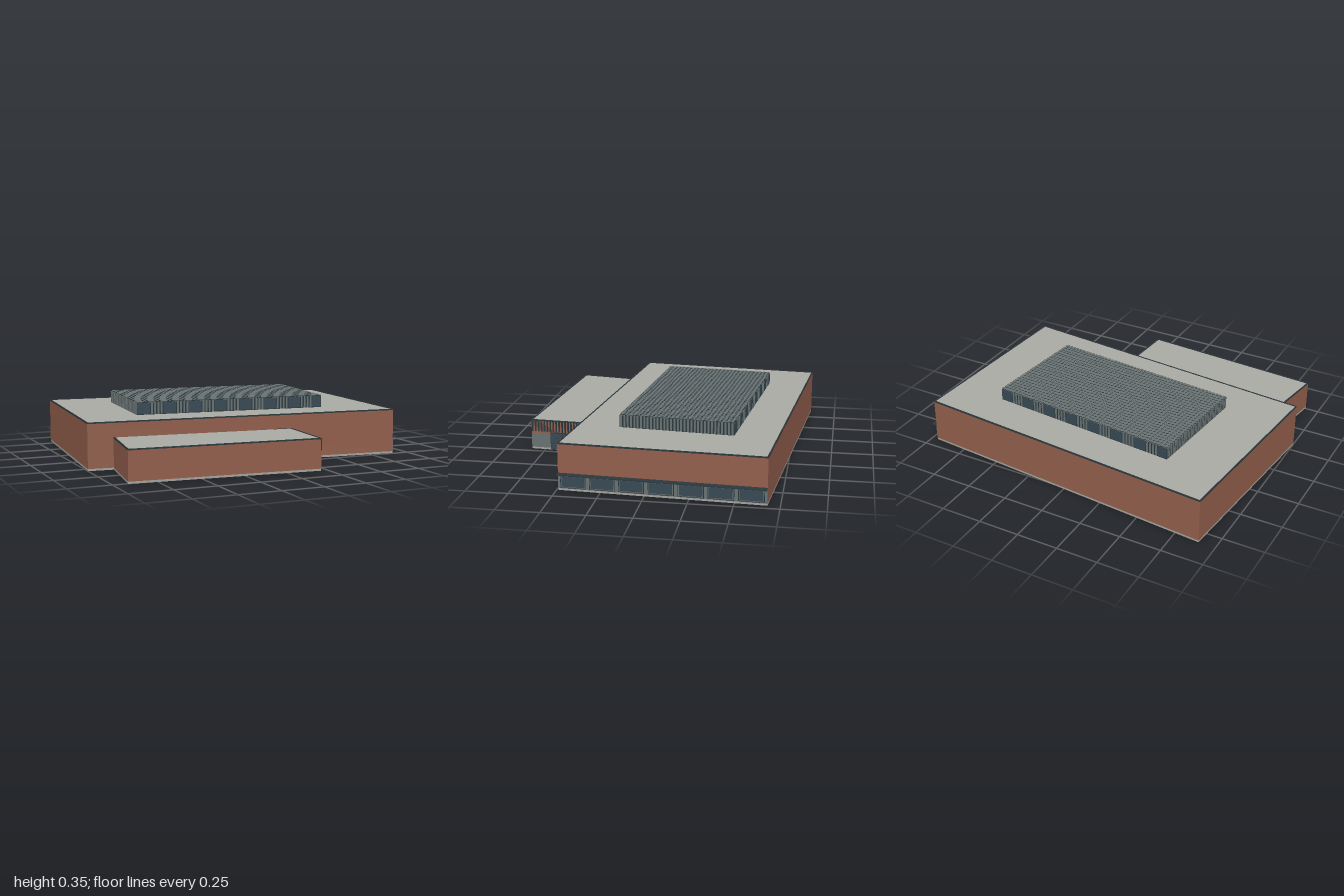
import * as THREE from 'three';

const mat = (name, color) => Object.assign(new THREE.MeshStandardMaterial({ color }), { name });

export function createModel() {
  const brick = mat('brick', 0x925f4c);
  const deck = mat('roof gravel', 0xaaaaa4);
  const trim = mat('dark trim', 0x2b383e);
  const glass = mat('glass', 0x384a54);
  const grey = mat('grey panel', 0x687171);
  const concrete = mat('concrete', 0xa5a39e);

  const model = new THREE.Group();
  model.name = 'building';

  // Corner lists are [x, z], running front left, front right, back right, back left
  const main = [[-1, 0.313], [0.9, 0.49], [0.96, -0.68], [-0.9, -0.84]];
  const annex = [[-0.915, 0.757], [0.205, 0.837], [0.23, 0.42], [-0.85, 0.32]];
  const unit = [[-0.627, 0.1], [0.548, 0.21], [0.608, -0.46], [-0.567, -0.57]];

  const toPoints = (pts) => pts.map(([x, z]) => new THREE.Vector2(x, -z));
  const inset = (pts, d) => pts.map(([x, z], i) => [
    x + (i === 0 || i === 3 ? d : -d), z + (i < 2 ? -d : d)]);

  // Upright prism over a footprint
  function prism(parent, name, pts, y0, y1, material, hole) {
    const shape = new THREE.Shape(toPoints(pts));
    if (hole) shape.holes.push(new THREE.Path(toPoints(hole)));
    const geo = new THREE.ExtrudeGeometry(shape, { depth: y1 - y0, bevelEnabled: false });
    geo.rotateX(-Math.PI / 2).translate(0, y0, 0);
    const mesh = new THREE.Mesh(geo, material);
    mesh.name = name;
    parent.add(mesh);
  }

  // Group lying on a wall: local x runs along it, local z points outward
  function wall(parent, name, p, q) {
    const g = new THREE.Group();
    g.name = name;
    g.position.set(p[0], 0, p[1]);
    g.rotation.y = Math.atan2(p[1] - q[1], q[0] - p[0]);
    g.userData.length = Math.hypot(q[0] - p[0], q[1] - p[1]);
    parent.add(g);
    return g;
  }

  // Box spanning u0..u1 along a wall, y0..y1 high, z0..z1 outward
  function slab(parent, name, u0, u1, y0, y1, z0, z1, material) {
    const mesh = new THREE.Mesh(new THREE.BoxGeometry(u1 - u0, y1 - y0, z1 - z0), material);
    mesh.position.set((u0 + u1) / 2, (y0 + y1) / 2, (z0 + z1) / 2);
    mesh.name = name;
    parent.add(mesh);
  }

  // Two brick blocks with plinth, flat roof and dark roof edge
  function block(name, pts, height) {
    const g = new THREE.Group();
    g.name = name;
    prism(g, 'plinth', pts, 0, 0.012, concrete);
    prism(g, 'brickWalls', pts, 0.012, height - 0.007, brick);
    prism(g, 'roofDeck', inset(pts, 0.007), height - 0.007, height - 0.002, deck);
    prism(g, 'roofEdge', pts, height - 0.007, height + 0.001, trim, inset(pts, 0.007));
    model.add(g);
  }
  block('mainHall', main, 0.275);
  block('annex', annex, 0.187);

  // Window band and canopy on the right-hand end of the hall
  const side = wall(model, 'windowBand', main[1], main[2]);
  const len = side.userData.length;
  slab(side, 'bandPanel', 0, len, 0.012, 0.097, 0, 0.003, grey);
  for (let i = 0; i < 7; i++) {
    const u = 0.014 + i * 0.1665;
    slab(side, 'windowFrame', u, u + 0.145, 0.016, 0.092, 0.003, 0.006, trim);
    slab(side, 'windowSurround', u + 0.004, u + 0.141, 0.02, 0.088, 0.006, 0.0075, grey);
    slab(side, 'windowPane', u + 0.008, u + 0.137, 0.024, 0.084, 0.0075, 0.009, glass);
  }
  slab(side, 'canopy', 0, len, 0.096, 0.102, 0, 0.038, trim);

  // Entrance end of the annex
  const end = wall(model, 'entrance', annex[1], annex[2]);
  const endLen = 0.345;
  slab(end, 'entrancePanel', 0, endLen, 0.012, 0.1, 0, 0.003, grey);
  slab(end, 'doorFrame', 0.122, 0.28, 0.004, 0.112, 0, 0.006, trim);
  for (let c = 0; c < 2; c++) {
    for (let r = 0; r < 3; r++) {
      const u = 0.126 + c * 0.076, y = 0.008 + r * 0.034;
      slab(end, 'doorPane', u, u + 0.072, y, y + 0.031, 0.006, 0.008, glass);
    }
  }
  for (let i = 0; i < 18; i++) {
    const u = 0.003 + i * 0.019;
    slab(end, 'batten', u, u + 0.009, 0.115, 0.186, 0, 0.006, trim);
  }

  // Rooftop plant enclosure with slatted sides
  const plant = new THREE.Group();
  plant.name = 'rooftopUnit';
  model.add(plant);
  prism(plant, 'unitBody', unit, 0.272, 0.345, trim);
  prism(plant, 'unitTop', unit, 0.345, 0.346, grey);
  unit.forEach((p, k) => {
    const g = wall(plant, 'unitSide', p, unit[(k + 1) % 4]);
    const n = Math.round(g.userData.length / 0.02);
    const step = g.userData.length / n;
    for (let i = 0; i < n; i++) {
      // Long sides alternate plain panels and slats
      if (k % 2 === 0 && i % 8 < 4) {
        if (i % 8 === 0) slab(g, 'unitPanel', i * step, Math.min(i + 4, n) * step - 0.003, 0.278, 0.343, 0, 0.002, glass);
      } else {
        slab(g, 'unitSlat', (i + 0.2) * step, (i + 0.75) * step, 0.275, 0.346, 0, 0.003, grey);
      }
    }
  });

  // Low ribs across the unit's top: grey above, dark on their sides
  const ribMaterials = [trim, trim, grey, trim, trim, trim];
  const top = wall(plant, 'unitGrille', unit[0], unit[1]);
  const width = top.userData.length, depth = 0.672;
  for (let i = 0; i < 48; i++) {
    const u = (i + 0.25) * width / 48;
    slab(top, 'grilleRib', u, u + 0.012, 0.346, 0.35, -depth, 0, ribMaterials);
  }
  for (let i = 0; i < 27; i++) {
    const z = -(i + 0.75) * depth / 27;
    slab(top, 'grilleRib', 0, width, 0.346, 0.35, z, z + 0.012, ribMaterials);
  }
  return model;
}
